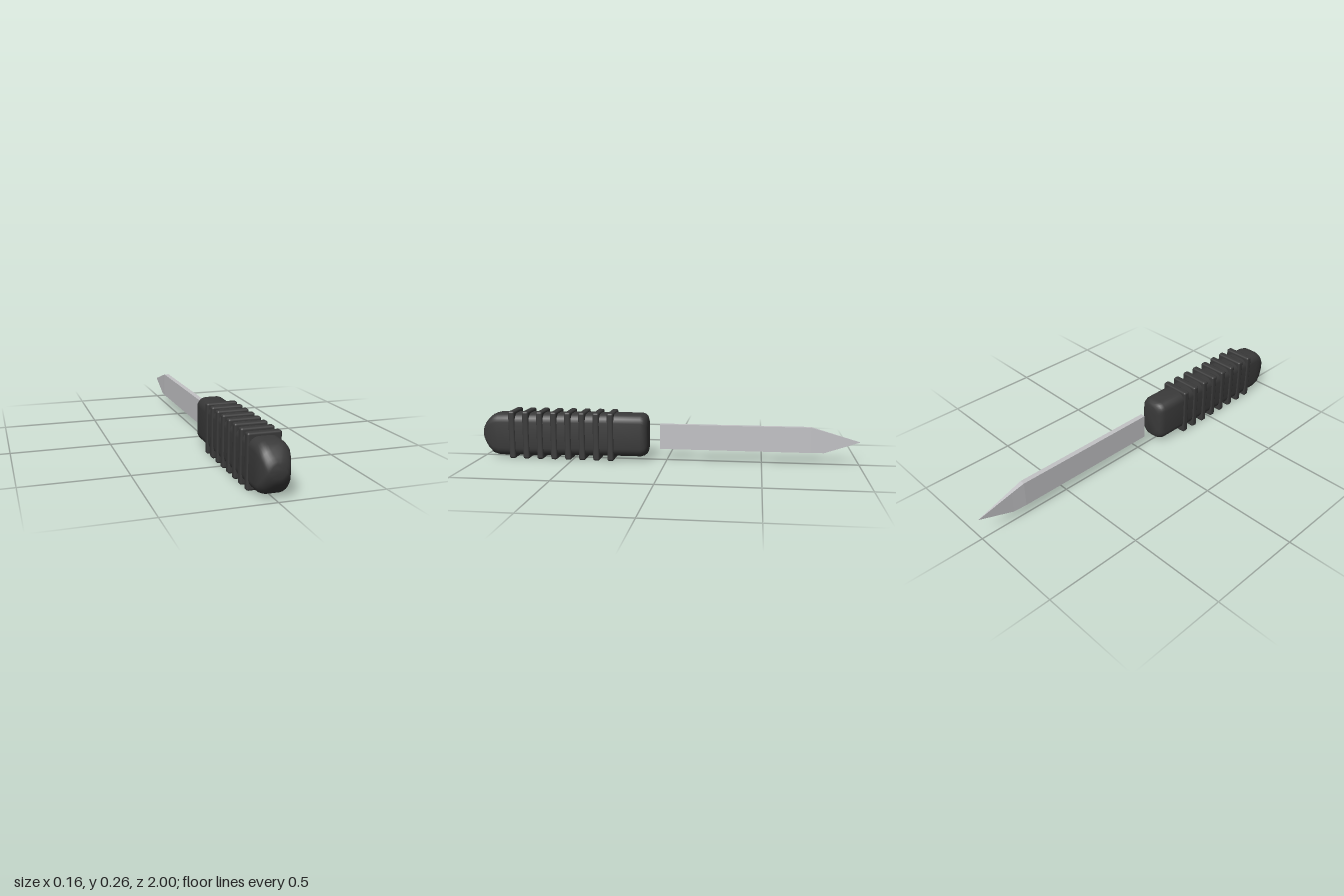
import * as THREE from 'three';
import { toCreasedNormals } from 'three/addons/utils/BufferGeometryUtils.js';
import { RoundedBoxGeometry } from 'three/addons/geometries/RoundedBoxGeometry.js';

// Rounded rectangle cross-section, counter-clockwise seen from +z
function section(z, cy, hw, hh, radius, steps) {
  const r = Math.min(radius, hw, hh);
  const points = [];
  [[1, 1], [-1, 1], [-1, -1], [1, -1]].forEach(([sx, sy], corner) => {
    for (let i = 0; i <= steps; i++) {
      const a = (corner + (steps ? i / steps : 0)) * Math.PI / 2;
      const dx = steps ? r * Math.cos(a) : 0;
      const dy = steps ? r * Math.sin(a) : 0;
      points.push([sx * (hw - r) + dx, cy + sy * (hh - r) + dy, z]);
    }
  });
  return points;
}

// Skin a list of sections running towards +z and close both ends
function loft(sections, crease) {
  const n = sections[0].length;
  const positions = sections.flat();
  const index = [];
  for (let s = 0; s < sections.length - 1; s++) {
    for (let j = 0; j < n; j++) {
      const a = s * n + j, b = s * n + (j + 1) % n;
      index.push(a, b, b + n, a, b + n, a + n);
    }
  }
  const last = (sections.length - 1) * n;
  for (let j = 1; j < n - 1; j++) {
    index.push(0, j + 1, j, last, last + j, last + j + 1);
  }
  const geometry = new THREE.BufferGeometry();
  geometry.setAttribute('position', new THREE.Float32BufferAttribute(positions.flat(), 3));
  geometry.setIndex(index);
  return toCreasedNormals(geometry, crease);
}

export function createModel() {
  const rubber = new THREE.MeshStandardMaterial({ color: 0x3a3a3a });
  rubber.name = 'darkRubber';
  const steel = new THREE.MeshStandardMaterial({ color: 0xc3c3c6 });
  steel.name = 'steel';

  const model = new THREE.Group();
  model.name = 'knife';
  const add = (name, geometry, material, parent = model) => {
    const mesh = new THREE.Mesh(geometry, material);
    mesh.name = name;
    parent.add(mesh);
    return mesh;
  };

  // Handle core with rounded front and tapered butt: z, centre y, half width, half height
  const handle = new THREE.Group();
  handle.name = 'handle';
  model.add(handle);
  const stations = [
    [0.098, 0.134, 0.045, 0.086],
    [0.104, 0.134, 0.058, 0.1],
    [0.115, 0.134, 0.067, 0.108],
    [0.135, 0.134, 0.073, 0.113],
    [0.28, 0.134, 0.073, 0.113],
    [0.84, 0.125, 0.073, 0.115],
    [0.91, 0.125, 0.073, 0.114],
    [0.94, 0.125, 0.072, 0.106],
    [0.965, 0.126, 0.066, 0.085],
    [0.985, 0.128, 0.057, 0.06],
    [0.995, 0.129, 0.048, 0.044],
    [1.0, 0.13, 0.036, 0.03],
  ];
  add('grip', loft(stations.map(([z, cy, hw, hh]) => section(z, cy, hw, hh, 0.045, 6)), 0.9), rubber, handle);

  // Raised grip rings
  const ringGeometry = new RoundedBoxGeometry(0.158, 0.256, 0.035, 3, 0.01);
  for (let i = 0; i < 8; i++) {
    add('gripRing' + (i + 1), ringGeometry, rubber, handle).position.set(0, 0.128, 0.293 + i * 0.0765);
  }

  // Blade thinning to a point: z, bottom, top, half thickness
  const blade = [
    [-1.0, 0.119, 0.121, 0.001],
    [-0.82, 0.06, 0.173, 0.009],
    [-0.75, 0.06, 0.193, 0.013],
    [0.037, 0.06, 0.193, 0.013],
  ];
  add('blade', loft(blade.map(([z, y0, y1, hw]) => section(z, (y0 + y1) / 2, hw, (y1 - y0) / 2, 0, 0)), 0.01), steel);

  return model;
}
